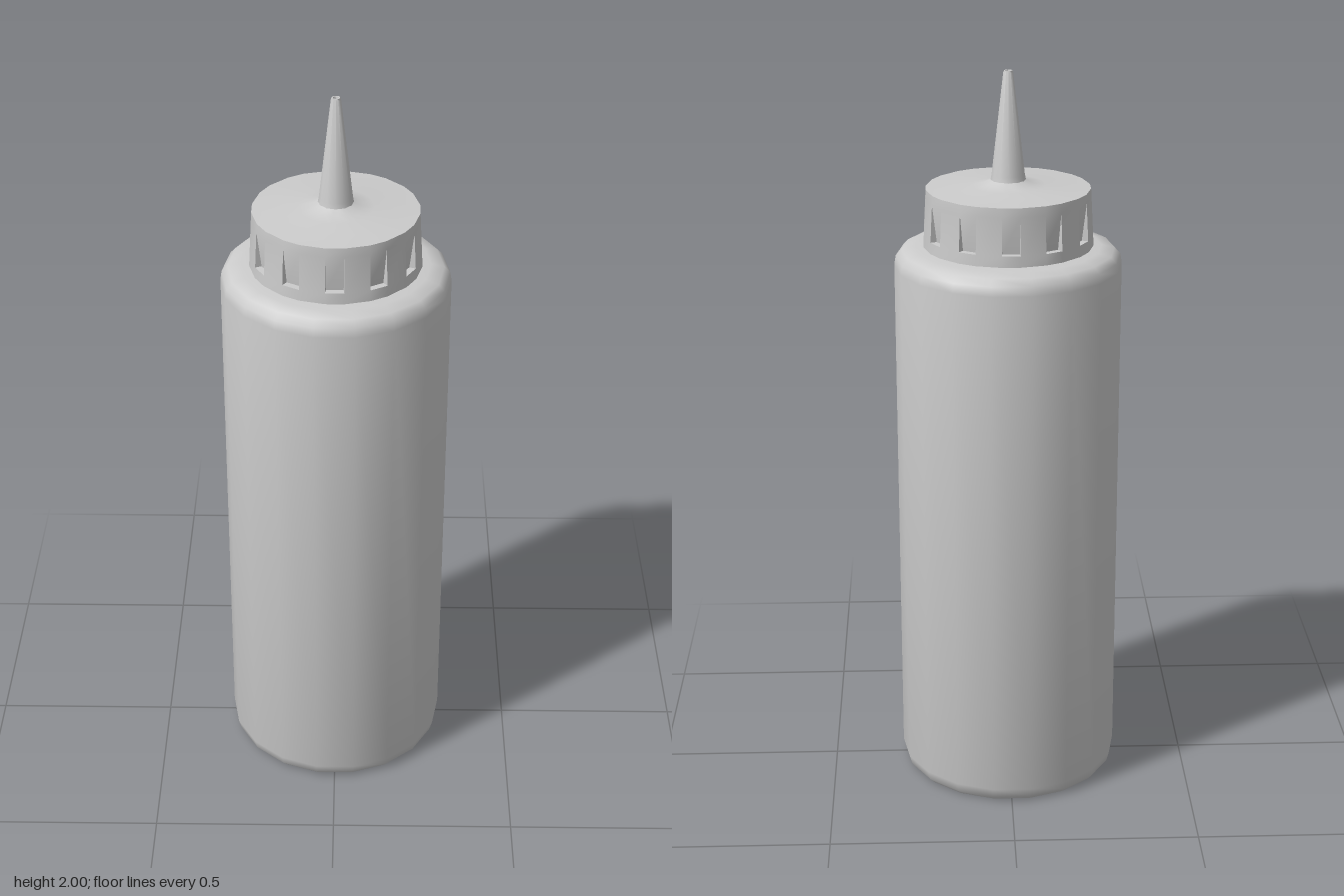
import * as THREE from 'three';
import { toCreasedNormals } from 'three/addons/utils/BufferGeometryUtils.js';

const material = new THREE.MeshStandardMaterial({ color: 0xcccccc });
const DEG = Math.PI / 180;

function addMesh(group, name, geometry, crease = 40) {
  const mesh = new THREE.Mesh(toCreasedNormals(geometry, crease * DEG), material);
  mesh.name = name;
  group.add(mesh);
}

function lathe(profile, sides, startDegrees) {
  const points = profile.map(([r, y]) => new THREE.Vector2(r, y));
  return new THREE.LatheGeometry(points, sides, startDegrees * DEG);
}

// Cap wall with wedge-shaped grip notches that deepen towards a ledge
const NOTCHES = 12, HALF = 6.25, DEPTH = 0.018;
const LEVELS = [1.535, 1.565, 1.665, 1.69];
const wallRadius = (y) => 0.228 - (y - 1.535) * 0.055;

function capWall() {
  const positions = [];
  const at = (degrees, y, inset = 0) => {
    const r = wallRadius(y) - inset, a = degrees * DEG;
    return [r * Math.sin(a), y, r * Math.cos(a)];
  };
  const tri = (a, b, c) => positions.push(...a, ...b, ...c);
  const quad = (a, b, c, d) => { tri(a, b, c); tri(a, c, d); };
  const panel = (a0, a1, y0, y1) => quad(at(a0, y0), at(a1, y0), at(a1, y1), at(a0, y1));
  const step = 360 / NOTCHES;
  const [, low, high] = LEVELS;

  for (let i = 0; i < NOTCHES; i++) {
    const a0 = i * step - HALF, a1 = i * step + HALF, a2 = a0 + step;
    for (let k = 0; k < 3; k++) {
      panel(a1, a2, LEVELS[k], LEVELS[k + 1]);
      if (k !== 1) panel(a0, a1, LEVELS[k], LEVELS[k + 1]);
    }
    // sloping back, ledge and two cheeks of the notch
    const in0 = at(a0, low, DEPTH), in1 = at(a1, low, DEPTH);
    quad(in0, in1, at(a1, high), at(a0, high));
    quad(at(a0, low), at(a1, low), in1, in0);
    tri(at(a0, low), in0, at(a0, high));
    tri(in1, at(a1, low), at(a1, high));
    // underside rim
    const inner0 = at(a0, LEVELS[0], 0.03), inner1 = at(a1, LEVELS[0], 0.03), inner2 = at(a2, LEVELS[0], 0.03);
    quad(inner0, inner1, at(a1, LEVELS[0]), at(a0, LEVELS[0]));
    quad(inner1, inner2, at(a2, LEVELS[0]), at(a1, LEVELS[0]));
  }
  const geometry = new THREE.BufferGeometry();
  geometry.setAttribute('position', new THREE.Float32BufferAttribute(positions, 3));
  return geometry;
}

// Cap top: a shallow cone whose rim follows the corners of the wall
function capTop() {
  const rim = wallRadius(LEVELS[3]);
  const geometry = lathe([[rim, 1.69], [0.1, 1.697], [0.065, 1.702], [0.044, 1.712]], 24, 0);
  const p = geometry.attributes.position;
  for (let i = 0; i < p.count; i++) {
    const column = Math.floor(i / 4);
    const a = ((column >> 1) * 30 + (column % 2 ? HALF : -HALF)) * DEG;
    const r = Math.hypot(p.getX(i), p.getZ(i));
    p.setX(i, r * Math.sin(a));
    p.setZ(i, r * Math.cos(a));
  }
  return geometry;
}

export function createModel() {
  const model = new THREE.Group();
  model.name = 'squeezeBottle';

  // Body with rounded shoulder and neck
  addMesh(model, 'body', lathe([
    [0, 0], [0.285, 0], [0.298, 0.014], [0.305, 0.04],
    [0.305, 1.48], [0.301, 1.505], [0.285, 1.522], [0.25, 1.53], [0.205, 1.532], [0.19, 1.6],
  ], 18, 10));

  // Screw cap
  const cap = new THREE.Group();
  cap.name = 'cap';
  addMesh(cap, 'capWall', capWall(), 30);
  addMesh(cap, 'capTop', capTop());
  model.add(cap);

  // Tapered spout with an open tip
  addMesh(model, 'spout', lathe([
    [0.048, 1.705], [0.044, 1.725], [0.013, 1.995], [0.011, 2], [0.008, 2], [0.007, 1.95], [0, 1.95],
  ], 12, 0));

  return model;
}
